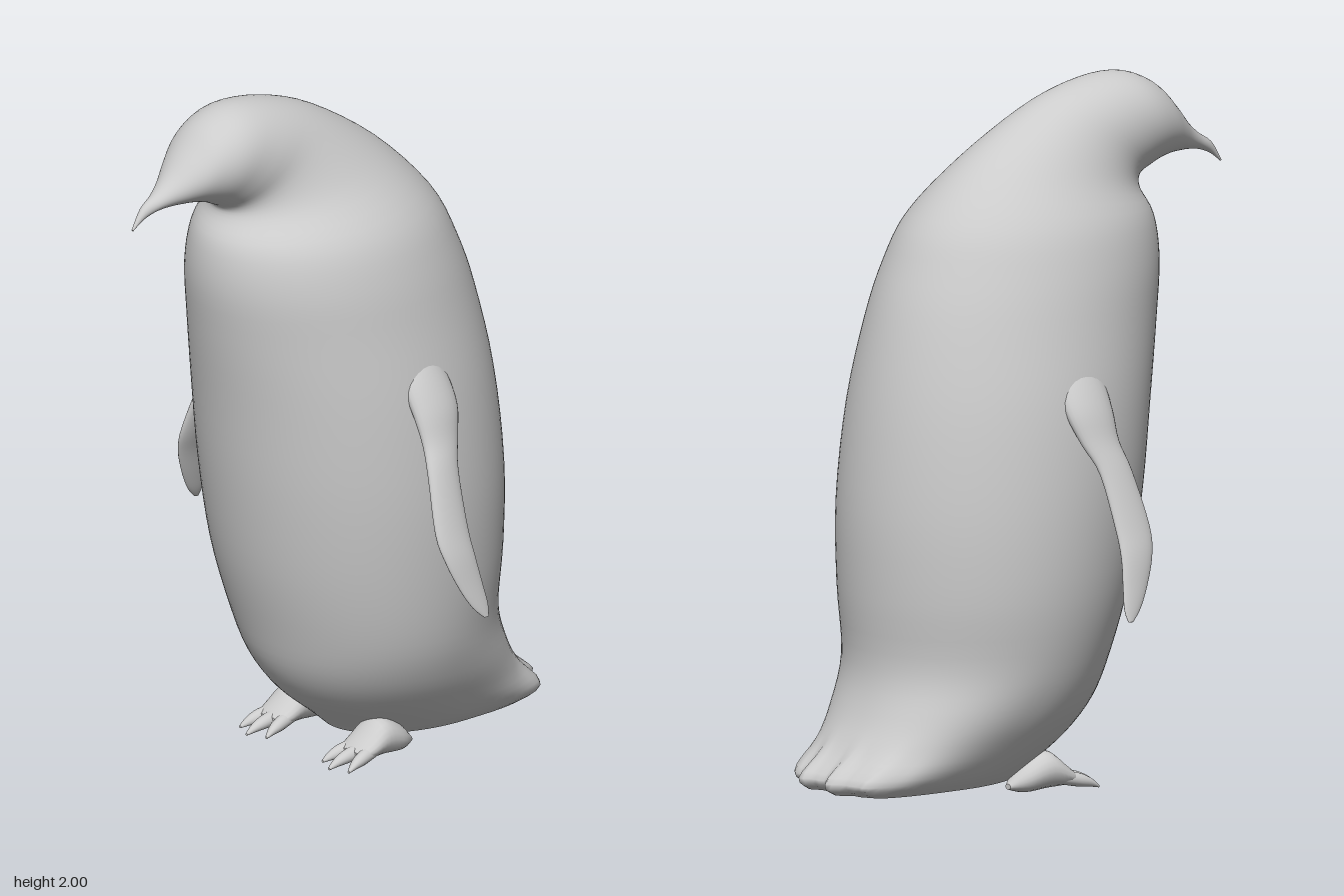
import * as THREE from 'three';

const material = new THREE.MeshStandardMaterial({ color: 0xcccccc, roughness: 0.8 });
const V = (x, y, z) => new THREE.Vector3(x, y, z);

// Smoothly subdivide rows of numbers (Catmull-Rom on every column)
function refine(rows, steps) {
  const out = [];
  const at = i => rows[Math.min(Math.max(i, 0), rows.length - 1)];
  for (let i = 0; i < rows.length - 1; i++) {
    for (let s = 0; s < steps; s++) {
      const t = s / steps;
      out.push(rows[i].map((p1, k) => {
        const p0 = at(i - 1)[k], p2 = at(i + 1)[k], p3 = at(i + 2)[k];
        return p1 + 0.5 * t * (p2 - p0 + t * (2 * p0 - 5 * p1 + 4 * p2 - p3 + t * (3 * (p1 - p2) + p3 - p0)));
      }));
    }
  }
  out.push(rows[rows.length - 1]);
  return out;
}

// Skin closed rings: c = centre, a and b = half axes (a x b points along the loft),
// n = squareness of the half that faces away from a
function loft(name, sections, sides, adjust = p => p) {
  const pos = [], index = [];
  const rings = sections.map(({ c, a, b, n = 2 }) => Array.from({ length: sides }, (_, j) => {
    const u = Math.cos(j / sides * Math.PI * 2), v = Math.sin(j / sides * Math.PI * 2);
    const k = u < 0 ? Math.pow(Math.abs(u) ** n + Math.abs(v) ** n, -1 / n) : 1;
    return adjust(c.clone().addScaledVector(a, u * k).addScaledVector(b, v * k));
  }));
  rings.forEach((ring, i) => ring.forEach((p, j) => {
    pos.push(p.x, p.y, p.z);
    if (i === 0) return;
    const q = (j + 1) % sides, lo = (i - 1) * sides, hi = i * sides;
    index.push(lo + j, lo + q, hi + q, lo + j, hi + q, hi + j);
  }));
  // End caps with their own vertices, so the rims stay crisp
  [0, rings.length - 1].forEach((r, end) => {
    const base = pos.length / 3, c = sections[r].c;
    pos.push(c.x, c.y, c.z);
    rings[r].forEach(p => pos.push(p.x, p.y, p.z));
    for (let j = 0; j < sides; j++) {
      const p = base + 1 + j, q = base + 1 + (j + 1) % sides;
      index.push(base, ...(end ? [p, q] : [q, p]));
    }
  });
  const g = new THREE.BufferGeometry();
  g.setAttribute('position', new THREE.Float32BufferAttribute(pos, 3));
  g.setIndex(index);
  g.computeVertexNormals();
  const mesh = new THREE.Mesh(g, material);
  mesh.name = name;
  return mesh;
}

// Body, head and beak: [front z, front y, back z, back y, half width, back squareness, x]
const BODY = [
  [-0.02, 0.04, -0.64, 0.035, 0.20, 3.5, 0],
  [0.03, 0.085, -0.675, 0.07, 0.245, 3.2, 0],
  [0.13, 0.17, -0.60, 0.15, 0.295, 2.6, 0],
  [0.20, 0.27, -0.54, 0.25, 0.345, 2.3, 0],
  [0.245, 0.40, -0.507, 0.38, 0.385, 2, 0],
  [0.30, 0.60, -0.52, 0.58, 0.417, 2, -0.005],
  [0.345, 0.85, -0.523, 0.82, 0.427, 2, -0.005],
  [0.38, 1.10, -0.495, 1.10, 0.41, 2, -0.005],
  [0.415, 1.32, -0.445, 1.34, 0.373, 2, -0.005],
  [0.435, 1.48, -0.39, 1.50, 0.342, 2, -0.005],
  [0.422, 1.60, -0.32, 1.635, 0.298, 2, -0.01],
  [0.38, 1.67, -0.17, 1.79, 0.215, 2, -0.025],
  [0.38, 1.70, 0.03, 1.922, 0.165, 2, -0.033],
  [0.415, 1.72, 0.19, 1.983, 0.15, 2, -0.035],
  [0.455, 1.737, 0.33, 2.0, 0.138, 2, -0.035],
  [0.50, 1.747, 0.43, 1.968, 0.112, 2, -0.035],
  [0.54, 1.75, 0.50, 1.905, 0.08, 2, -0.035],
  [0.58, 1.75, 0.56, 1.84, 0.048, 2, -0.035],
  [0.62, 1.745, 0.61, 1.797, 0.027, 2, -0.035],
  [0.66, 1.73, 0.66, 1.765, 0.014, 2, -0.035],
  [0.695, 1.704, 0.698, 1.709, 0.003, 2, -0.035],
];

// Flipper: [x, y, z, half chord, half thickness]
const FLIPPER = [
  [0.30, 1.27, -0.04, 0.06, 0.05],
  [0.365, 1.19, -0.04, 0.078, 0.042],
  [0.415, 1.11, -0.04, 0.077, 0.035],
  [0.45, 1.03, -0.028, 0.062, 0.027],
  [0.49, 0.95, -0.004, 0.054, 0.021],
  [0.545, 0.80, 0.013, 0.058, 0.019],
  [0.575, 0.72, 0.006, 0.053, 0.016],
  [0.596, 0.64, -0.015, 0.042, 0.012],
  [0.612, 0.58, -0.036, 0.028, 0.008],
  [0.623, 0.546, -0.05, 0.008, 0.003],
];

// Foot and toes: [z, y, half height, half width, x]
const FOOT = [
  [-0.15, 0.025, 0.008, 0.012, 0],
  [-0.10, 0.045, 0.04, 0.048, 0],
  [-0.03, 0.065, 0.055, 0.062, 0],
  [0.03, 0.045, 0.032, 0.062, 0],
  [0.07, 0.03, 0.014, 0.05, 0],
];
const toeRows = (spread, length) => [
  [0.0, 0.042, 0.02, 0.022, spread * 0.6],
  [length * 0.5, 0.03, 0.02, 0.021, spread * 0.85],
  [length * 0.8, 0.02, 0.013, 0.014, spread],
  [length, 0.007, 0.004, 0.004, spread * 1.12],
];

// Ragged feather edge at the end of the tail
function featherTail(p) {
  const w = THREE.MathUtils.smoothstep(-p.z, 0.42, 0.64) * (1 - THREE.MathUtils.smoothstep(p.y, 0.06, 0.2));
  p.z -= w * (0.014 * Math.cos((p.x + 0.05) * 52) + 0.007 * Math.cos((p.x + 0.05) * 95));
  return p;
}

export function createModel() {
  const model = new THREE.Group();
  model.name = 'penguin';

  const bodySections = refine(BODY, 4).map(([fz, fy, bz, by, w, n, x]) => ({
    c: V(x, (fy + by) / 2, (fz + bz) / 2), a: V(0, (fy - by) / 2, (fz - bz) / 2), b: V(w, 0, 0), n,
  }));
  model.add(loft('bodyHeadAndBeak', bodySections, 96, featherTail));

  for (const side of [1, -1]) {
    const label = side > 0 ? 'left' : 'right';
    model.add(loft(label + 'Flipper', refine(FLIPPER, 4).map(([x, y, z, h, t]) => ({
      c: V(side * x, y, z), a: V(0, 0, side * h), b: V(-side * 0.92 * t, -0.38 * t, 0),
    })), 24));

    const foot = new THREE.Group();
    foot.name = label + 'Foot';
    foot.position.x = side * 0.177;
    const piece = (name, rows) => foot.add(loft(name, refine(rows, 4).map(([z, y, h, w, x]) => ({
      c: V(x, y, z), a: V(0, -h, 0), b: V(w, 0, 0),
    })), 20));
    piece('ankle', FOOT);
    [[-0.05, 0.125], [0, 0.15], [0.05, 0.125]].forEach(([s, l]) => piece('toe', toeRows(s, l)));
    model.add(foot);
  }
  return model;
}
